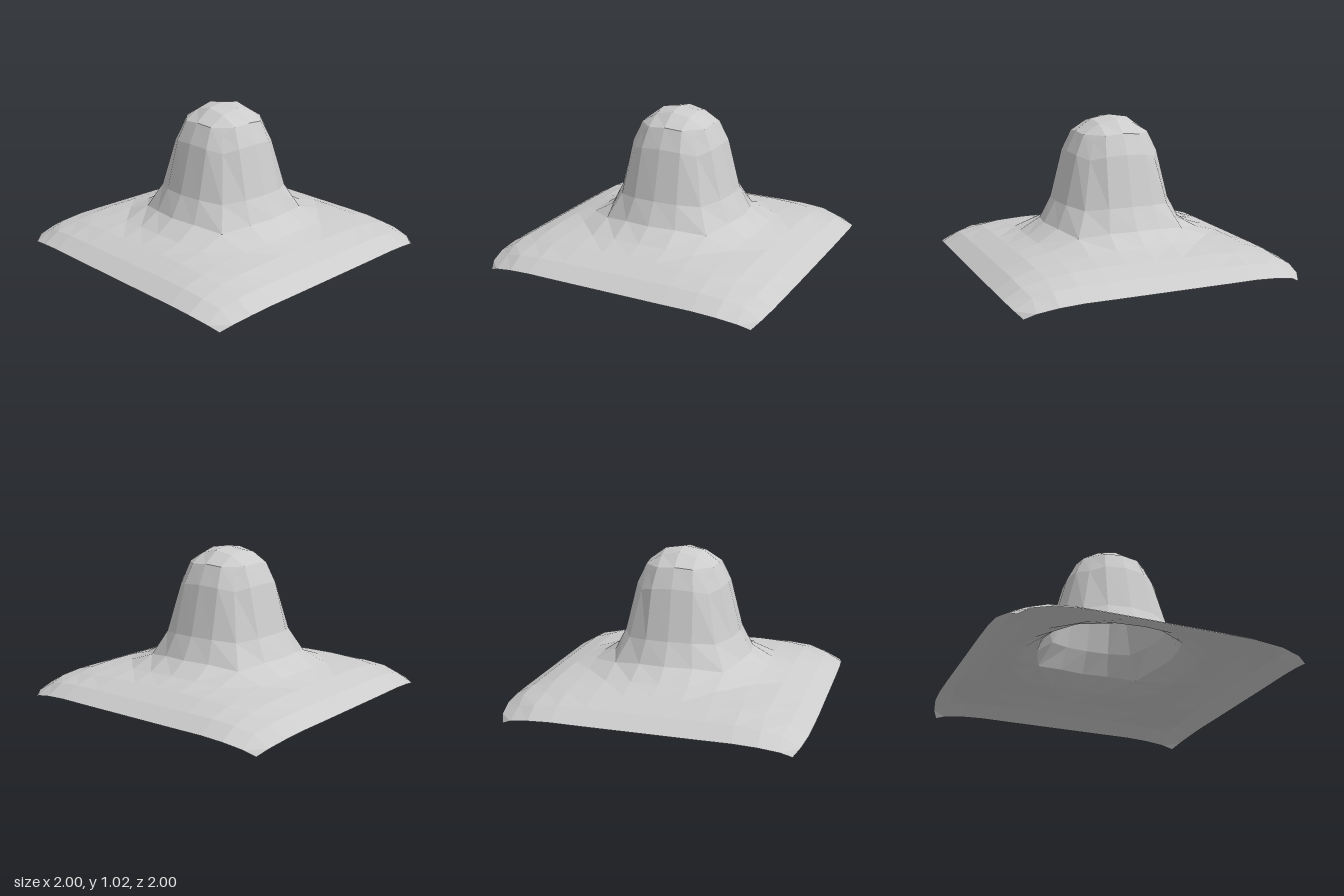
import * as THREE from 'three';

// Each ring lists [out, along, height] from the middle of a side to its corner;
// the other seven eighths follow by mirroring.
const rim = [[0.47, 0, 0.315], [0.44, 0.18, 0.31], [0.37, 0.37, 0.28]];
const shoulder = [[0.24, 0, 0.92], [0.23, 0.12, 0.91], [0.19, 0.19, 0.87]];

const sheetRings = [
  null, null, rim,
  [[0.59, 0, 0.235], [0.58, 0.19, 0.23], [0.56, 0.37, 0.215], [0.56, 0.56, 0.2]],
  [[0.73, 0, 0.19], [0.73, 0.19, 0.19], [0.73, 0.38, 0.19], [0.73, 0.57, 0.18], [0.72, 0.72, 0.16]],
  [[0.88, 0, 0.14], [0.88, 0.19, 0.14], [0.88, 0.38, 0.14], [0.88, 0.57, 0.138], [0.875, 0.73, 0.125], [0.85, 0.85, 0.095]],
  [[1, 0, 0.07], [1, 0.19, 0.07], [1, 0.38, 0.07], [0.998, 0.58, 0.07], [0.99, 0.73, 0.06], [0.965, 0.86, 0.035], [0.93, 0.93, 0]],
];
const capRings = [
  [[0, 0, 1.02]],
  [[0.13, 0, 1.0], [0.12, 0.12, 0.975]],
  shoulder,
];
const wallRings = [
  rim,
  [[0.39, 0, 0.46], [0.37, 0.155, 0.455], [0.295, 0.295, 0.44]],
  [[0.305, 0, 0.79], [0.29, 0.14, 0.78], [0.23, 0.23, 0.755]],
  shoulder,
];

// Mirrored point of a ring at grid place (i, j)
function ringPoint(ring, i, j) {
  const a = Math.abs(i), b = Math.abs(j);
  const [out, along, y] = ring[Math.min(a, b)];
  return a >= b
    ? [Math.sign(i) * out, y, Math.sign(j) * along]
    : [Math.sign(i) * along, y, Math.sign(j) * out];
}

function surface(name, triangles) {
  const geometry = new THREE.BufferGeometry();
  geometry.setAttribute('position', new THREE.Float32BufferAttribute(triangles.flat(), 3));
  geometry.computeVertexNormals();
  const mesh = new THREE.Mesh(geometry, new THREE.MeshStandardMaterial({
    color: 0xcccccc, flatShading: true, side: THREE.DoubleSide,
  }));
  mesh.name = name;
  return mesh;
}

// Square grid of concentric rings, leaving out the cells within the hole
function gridSurface(name, rings, hole) {
  const n = rings.length - 1;
  const at = (i, j) => ringPoint(rings[Math.max(Math.abs(i), Math.abs(j))], i, j);
  const tris = [];
  for (let i = -n; i < n; i++) {
    for (let j = -n; j < n; j++) {
      if (i >= -hole && i < hole && j >= -hole && j < hole) continue;
      const a = at(i, j), b = at(i, j + 1), c = at(i + 1, j + 1), d = at(i + 1, j);
      if ((i >= 0) === (j >= 0)) tris.push(a, b, d, b, c, d);
      else tris.push(a, b, c, a, c, d);
    }
  }
  return surface(name, tris);
}

// Sixteen-sided wall lofted through the rings from bottom to top
function wallSurface(name, rings) {
  const walk = [];
  let i = 2, j = 0;
  for (let s = 0; s < 16; s++) {
    walk.push([i, j]);
    if (i === 2 && j < 2) j++;
    else if (j === 2 && i > -2) i--;
    else if (i === -2 && j > -2) j--;
    else i++;
  }
  const tris = [];
  for (let k = 0; k < rings.length - 1; k++) {
    for (let s = 0; s < 16; s++) {
      const p = walk[s], q = walk[(s + 1) % 16];
      const a = ringPoint(rings[k], ...p), b = ringPoint(rings[k + 1], ...p);
      const c = ringPoint(rings[k + 1], ...q), d = ringPoint(rings[k], ...q);
      tris.push(a, b, c, a, c, d);
    }
  }
  return surface(name, tris);
}

export function createModel() {
  const model = new THREE.Group();
  model.name = 'domedSheet';
  model.add(
    gridSurface('brim', sheetRings, 2),
    wallSurface('domeWall', wallRings),
    gridSurface('domeCap', capRings, 0),
  );
  return model;
}
